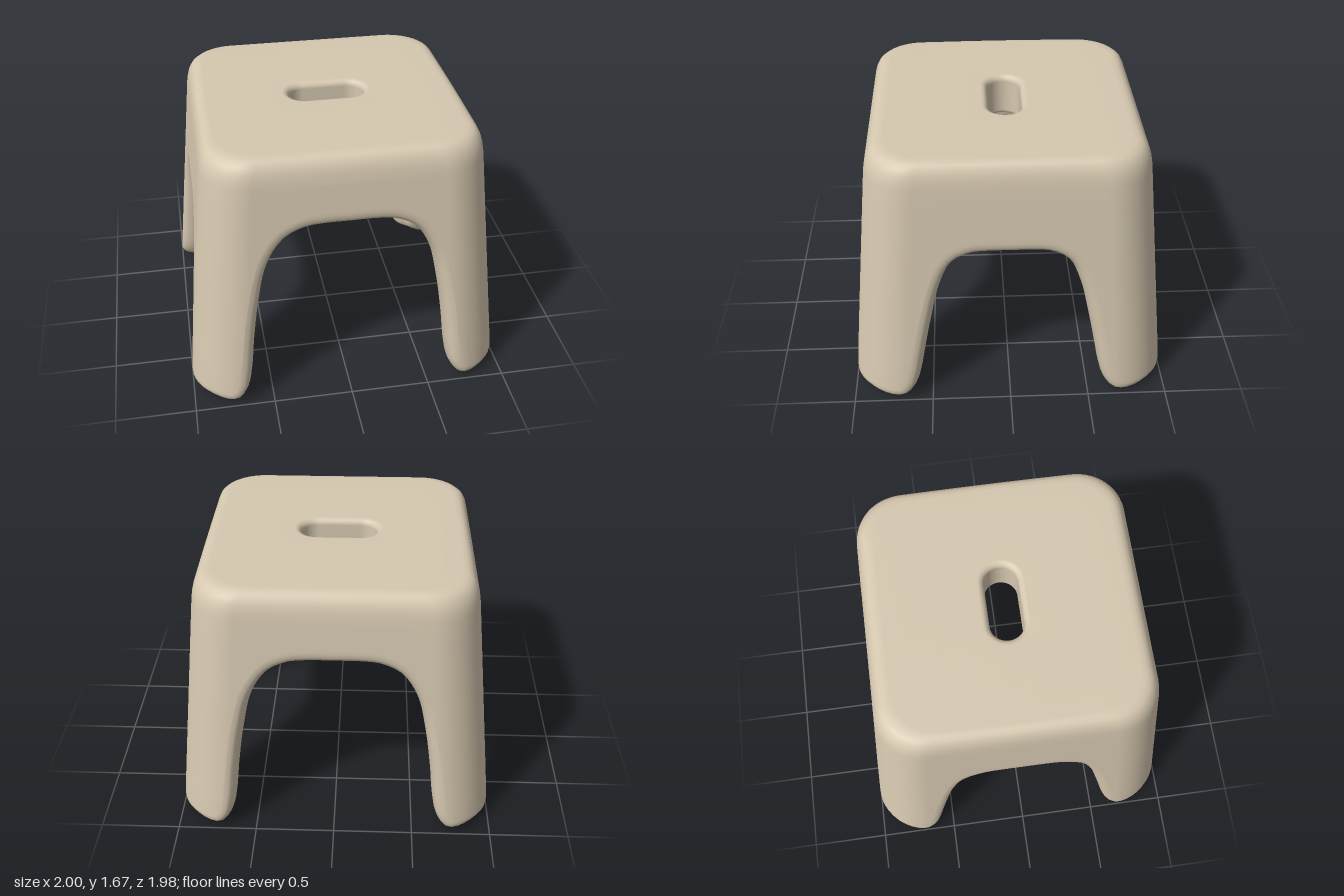
import * as THREE from 'three';

const R = 0.33, L = 1 - R, T = 2 * L + (Math.PI * R) / 2; // quarter outline: flat, corner arc, flat
const THICK = 0.22, RIM = 0.08, TOP = 1.66, UNDER = 1.38;
const half = (y) => 1.008 - 0.1 * y; // walls lean inwards as they rise
const lerp = THREE.MathUtils.lerp;

// Point on the leaning rounded-square wall, s along the quarter outline, pushed in by depth
function wall(s, y, depth) {
  const a = THREE.MathUtils.clamp((s - L) / R, 0, Math.PI / 2);
  const nx = Math.sin(a), nz = Math.cos(a), h = half(y);
  const x = s < L ? s : L + R * nx;
  const z = s > T - L ? T - s : L + R * nz;
  const d = depth * (1 + 0.2 * Math.sin(2 * a) ** 2);
  return new THREE.Vector3(x * h - nx * d, y, z * h - nz * d);
}

// Point on the quarter outline of the pill-shaped hand hole, f from 0 to 1, grown by e
function hole(f, y, e = 0) {
  const flat = 0.135, r = 0.105, d = f * (flat + (r * Math.PI) / 2);
  const a = Math.max(0, (d - flat) / r);
  return new THREE.Vector3(Math.min(d, flat) + (r + e) * Math.sin(a), y, (r + e) * Math.cos(a));
}

// Lower edge of the shell over one quarter: front arch, leg, foot, leg, side arch
const frontArch = [[0, 1.21], [0.15, 1.21], [0.28, 1.195], [0.4, 1.13], [0.5, 0.97],
  [0.56, 0.72], [0.6, 0.45], [0.625, 0.22], [0.655, 0.09], [0.73, 0.005]];
const sideArch = [[0, 1.06], [0.13, 1.06], [0.24, 1.05], [0.35, 0.99], [0.43, 0.82],
  [0.495, 0.55], [0.54, 0.32], [0.565, 0.19], [0.6, 0.08], [0.67, 0.005]];
const edge = new THREE.CatmullRomCurve3([
  ...frontArch.map(([x, y]) => new THREE.Vector3(x / half(y), y, 0)),
  new THREE.Vector3(T / 2, 0, 0),
  ...sideArch.map(([z, y]) => new THREE.Vector3(T - z / half(y), y, 0)).reverse(),
]);
edge.arcLengthDivisions = 800;

// Closed cross-section of the shell at fraction q of the quarter
function section(q) {
  const p = edge.getPointAt(q), t = edge.getTangentAt(q);
  if (q === 0 || q === 1) t.set(1, 0, 0);
  const nx = t.y, ny = -t.x;
  const sB = THREE.MathUtils.clamp(p.x - nx * RIM, 0, T), yB = p.y - ny * RIM;
  const sT = 0.6 * p.x + 0.4 * q * T, f = sT / T;
  const pts = [];
  // rounded rim, from the inside to the outside
  for (let i = 0; i <= 12; i++) {
    const a = (Math.PI * i) / 12, b = RIM * Math.pow(Math.sin(a), 0.8);
    pts.push(wall(sB + nx * b, yB + ny * b, (THICK * (1 + Math.cos(a))) / 2));
  }
  // outer wall
  for (let i = 1; i <= 10; i++) {
    const k = i / 10;
    pts.push(wall(lerp(sB, sT, k), lerp(yB, 1.5, k), 0));
  }
  // soft shoulder and seat top
  for (const [y, k] of [[1.55, 0.012], [1.59, 0.028], [1.625, 0.053], [1.646, 0.083], [1.657, 0.12],
    [TOP, 0.17], [TOP, 0.35], [TOP, 0.6], [TOP, 0.85]]) {
    const v = wall(sT, Math.min(y, 1.5), 0).lerp(hole(f, y, 0.04), k);
    v.y = y;
    pts.push(v);
  }
  // hand hole with rounded lips
  for (let i = 0; i <= 4; i++) {
    const a = (Math.PI * i) / 8;
    pts.push(hole(f, TOP - 0.04 * (1 - Math.cos(a)), 0.04 * (1 - Math.sin(a))));
  }
  for (let i = 4; i >= 0; i--) {
    const a = (Math.PI * i) / 8;
    pts.push(hole(f, UNDER + 0.03 * (1 - Math.cos(a)), 0.03 * (1 - Math.sin(a))));
  }
  // underside and inner fillet
  for (const [y, k] of [[UNDER, 0.7], [UNDER, 0.4], [UNDER, 0.2], [1.372, 0.1], [1.35, 0.04], [1.325, 0.01]]) {
    const v = wall(sT, 1.3, THICK).lerp(hole(f, y, 0.03), k);
    v.y = y;
    pts.push(v);
  }
  // inner wall back down to the rim
  for (let i = 0; i < 10; i++) {
    const k = i / 10;
    pts.push(wall(lerp(sT, sB, k), lerp(1.305, yB, k), THICK));
  }
  return pts;
}

// Mirror the quarter sections round the stool and join them into one closed skin
function shellGeometry(n) {
  const quarter = Array.from({ length: n + 1 }, (_, i) => section(i / n));
  const m = quarter[0].length, rings = 4 * n, pos = [], index = [];
  [[1, 1], [1, -1], [-1, -1], [-1, 1]].forEach(([sx, sz], k) => {
    for (let i = 0; i < n; i++) {
      for (const v of quarter[k % 2 ? n - i : i]) pos.push(v.x * sx, v.y, v.z * sz);
    }
  });
  for (let i = 0; i < rings; i++) {
    for (let j = 0; j < m; j++) {
      const i2 = (i + 1) % rings, j2 = (j + 1) % m;
      const a = i * m + j, b = i2 * m + j, c = i2 * m + j2, d = i * m + j2;
      index.push(a, b, c, a, c, d);
    }
  }
  const g = new THREE.BufferGeometry();
  g.setAttribute('position', new THREE.Float32BufferAttribute(pos, 3));
  g.setIndex(index);
  g.computeVertexNormals();
  return g;
}

export function createModel() {
  const beige = new THREE.MeshStandardMaterial({ color: 0xd6c8b0 });
  beige.name = 'beige plastic';
  const shell = new THREE.Mesh(shellGeometry(72), beige);
  shell.name = 'stoolShell';
  const group = new THREE.Group();
  group.name = 'stool';
  group.add(shell);
  return group;
}
